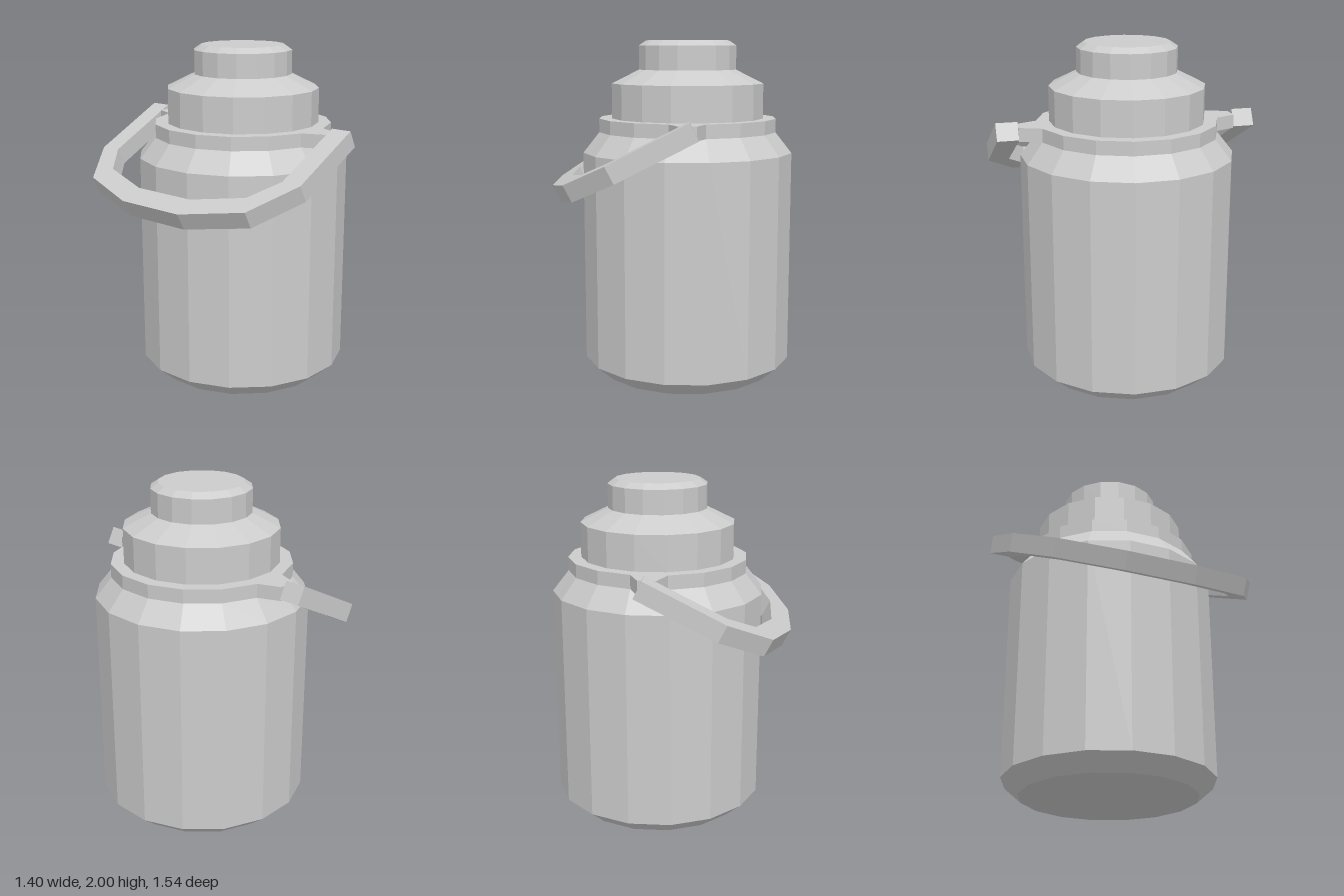
import * as THREE from 'three';

const SIDES = 16;
const AXIS_X = 0.086; // the flask sits off centre to balance the handle
const material = new THREE.MeshStandardMaterial({ color: 0xcccccc, flatShading: true });

function addMesh(parent, name, geometry) {
  const mesh = new THREE.Mesh(geometry, material);
  mesh.name = name;
  parent.add(mesh);
  return mesh;
}

// Faceted turned part; profile radii are measured to the middle of the flats
function turned(profile) {
  const k = 1 / Math.cos(Math.PI / SIDES);
  const points = profile.map(([r, y]) => new THREE.Vector2(r * k, y));
  return new THREE.LatheGeometry(points, SIDES, Math.PI / SIDES);
}

function extruded(points, depth) {
  const shape = new THREE.Shape(points.map(([x, y]) => new THREE.Vector2(x, y)));
  return new THREE.ExtrudeGeometry(shape, { depth, bevelEnabled: false });
}

export function createModel() {
  const model = new THREE.Group();
  model.name = 'flask';

  const vessel = new THREE.Group();
  vessel.name = 'vessel';
  vessel.position.x = AXIS_X;
  model.add(vessel);

  // Main container with chamfered base and sloping shoulder
  addMesh(vessel, 'body', turned([
    [0, 0], [0.513, 0], [0.614, 0.09], [0.614, 1.345], [0.52, 1.465],
  ]));

  // Flat ring that carries the handle
  addMesh(vessel, 'ring', turned([[0.52, 1.465], [0.52, 1.545], [0.445, 1.545]]));

  // Collar and cap
  addMesh(vessel, 'collar', turned([[0.445, 1.545], [0.445, 1.75], [0.286, 1.83]]));
  addMesh(vessel, 'cap', turned([[0.286, 1.83], [0.286, 1.97], [0.243, 2], [0, 2]]));

  // Tapered lugs on the front and back of the ring
  const lug = extruded([[-0.103, 0.52], [0.103, 0.52], [0.052, 0.645], [-0.052, 0.645]], 0.08);
  lug.rotateX(Math.PI / 2);
  for (const [name, turn] of [['frontLug', 0], ['backLug', Math.PI]]) {
    const mesh = addMesh(vessel, name, lug);
    mesh.position.y = 1.545;
    mesh.rotation.y = turn;
  }

  // Tilted carrying handle: half outline (distance along arm, z), mirrored in z
  const outer = [[0, 0.77], [0.5, 0.77], [0.774, 0.597], [0.898, 0.215]];
  const inner = [[0.771, 0.2], [0.668, 0.523], [0.494, 0.645], [0, 0.645]];
  const flip = (points) => points.map(([u, z]) => [u, -z]).reverse();
  const handle = addMesh(model, 'handle',
    extruded([...outer, ...flip(outer), ...flip(inner), ...inner], 0.107));
  const along = new THREE.Vector3(-0.891, -0.454, 0).normalize();
  const across = new THREE.Vector3(0, 0, 1);
  const up = along.clone().cross(across);
  handle.quaternion.setFromRotationMatrix(new THREE.Matrix4().makeBasis(along, across, up));
  handle.position.set(0.147, 1.476, 0);

  return model;
}
